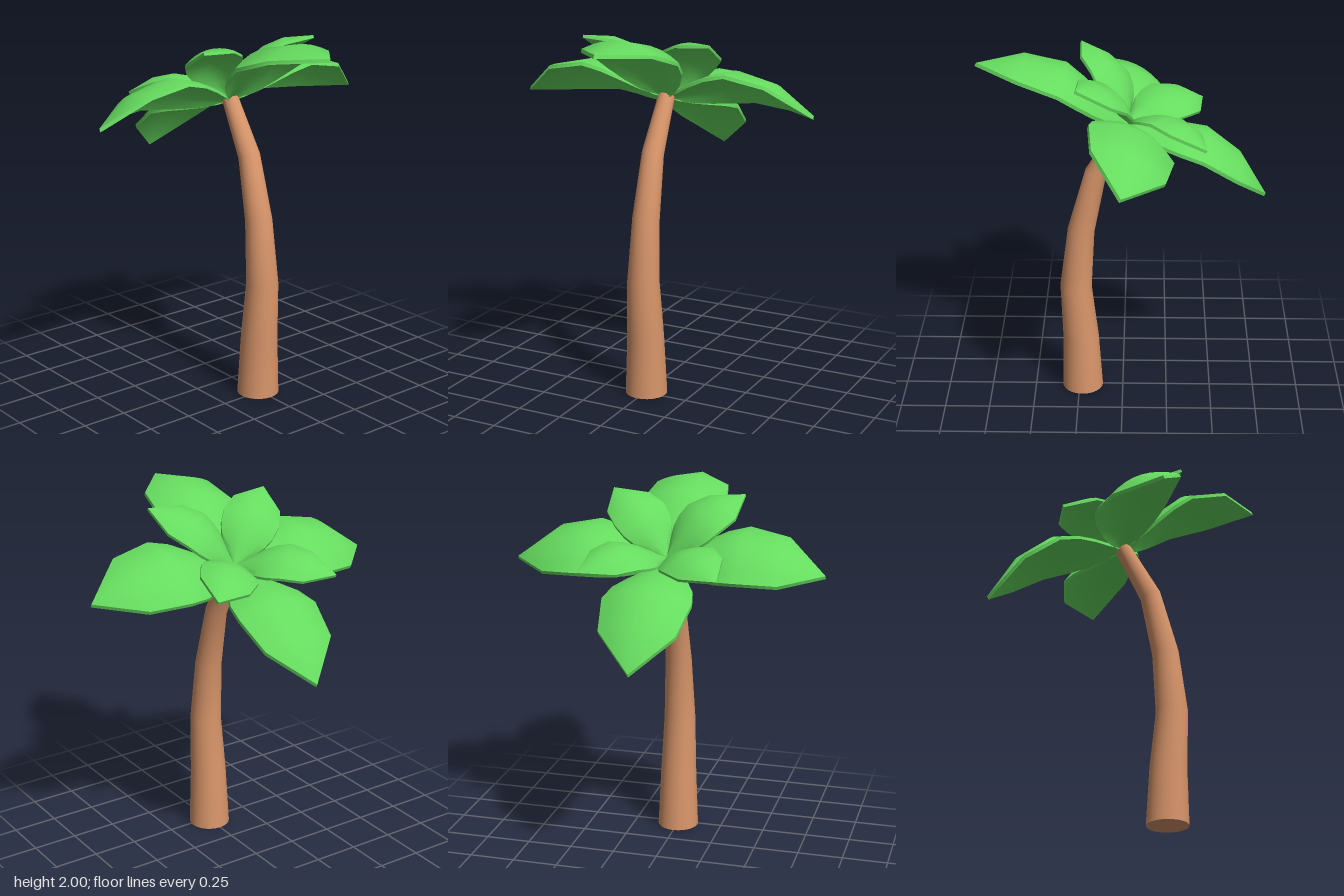
import * as THREE from 'three';
import { toCreasedNormals } from 'three/addons/utils/BufferGeometryUtils.js';

const leafGreen = new THREE.MeshStandardMaterial({ color: 0x66dc5f, name: 'leafGreen' });
const barkBrown = new THREE.MeshStandardMaterial({ color: 0xd8956a, name: 'barkBrown' });

// Arched leaf growing along +z; each station is [distance, half width, ridge height, edge height]
function leafGeometry(stations, thickness) {
  const n = 8, pos = [], idx = [];
  for (const [s, w, ridge, edge] of stations) {
    const across = (j, drop) => {
      const u = (j / n) * 2 - 1;
      pos.push(u * w, edge + (ridge - edge) * (1 - u * u) - drop, s);
    };
    for (let j = 0; j <= n; j++) across(j, 0);
    for (let j = n; j >= 0; j--) across(j, thickness);
  }
  const ring = 2 * (n + 1);
  for (let i = 0; i < stations.length - 1; i++) {
    for (let k = 0; k < ring; k++) {
      const a = i * ring + k, c = i * ring + (k + 1) % ring;
      idx.push(a, a + ring, c + ring, a, c + ring, c);
    }
  }
  const g = new THREE.BufferGeometry();
  g.setAttribute('position', new THREE.Float32BufferAttribute(pos, 3));
  g.setIndex(idx);
  return toCreasedNormals(g, 0.7);
}

// Curved trunk: rings are [y, z, radius, backward lean]
function trunkGeometry() {
  const rings = [
    [0, 0.23, 0.115, 0],
    [0.33, 0.238, 0.101, 0],
    [0.65, 0.262, 0.088, 0.03],
    [1.0, 0.229, 0.074, 0.17],
    [1.34, 0.147, 0.06, 0.42],
    [1.625, -0.015, 0.045, 0.52],
  ];
  const g = new THREE.CylinderGeometry(1, 1, 5, 24, 5);
  const p = g.attributes.position;
  for (let i = 0; i < p.count; i++) {
    const [y, z, r, lean] = rings[Math.round(p.getY(i) + 2.5)];
    const x = p.getX(i) * r, d = p.getZ(i) * r;
    p.setXYZ(i, x, y + d * Math.sin(lean), z + d * Math.cos(lean));
  }
  return toCreasedNormals(g, 0.8);
}

export function createModel() {
  const model = new THREE.Group();
  model.name = 'palmTree';

  const trunk = new THREE.Mesh(trunkGeometry(), barkBrown);
  trunk.name = 'trunk';
  model.add(trunk);

  // Crown tips backward, so the front leaf rises and the back leaf droops
  const crown = new THREE.Group();
  crown.name = 'crown';
  crown.position.y = 1.59;
  crown.rotation.x = -0.449;
  model.add(crown);

  const largeLeaf = leafGeometry([
    [0, 0, 0.045, 0.045],
    [0.05, 0.055, 0.065, 0.045],
    [0.12, 0.11, 0.098, 0.055],
    [0.2, 0.165, 0.13, 0.075],
    [0.3, 0.215, 0.168, 0.1],
    [0.417, 0.24, 0.2, 0.12],
    [0.637, 0.205, 0.15, 0.09],
    [0.854, 0, 0.01, 0.01],
  ], 0.02);
  const smallLeaf = leafGeometry([
    [0, 0, 0.07, 0.07],
    [0.04, 0.04, 0.105, 0.085],
    [0.08, 0.08, 0.145, 0.11],
    [0.13, 0.122, 0.188, 0.145],
    [0.18, 0.145, 0.222, 0.175],
    [0.25, 0.155, 0.255, 0.21],
    [0.369, 0.133, 0.268, 0.225],
    [0.523, 0, 0.235, 0.235],
  ], 0.016);

  for (let i = 0; i < 4; i++) {
    const big = new THREE.Mesh(largeLeaf, leafGreen);
    big.name = 'largeLeaf' + (i + 1);
    big.rotation.y = (i * Math.PI) / 2;
    const small = new THREE.Mesh(smallLeaf, leafGreen);
    small.name = 'smallLeaf' + (i + 1);
    small.rotation.y = ((i + 0.5) * Math.PI) / 2;
    crown.add(big, small);
  }
  return model;
}
